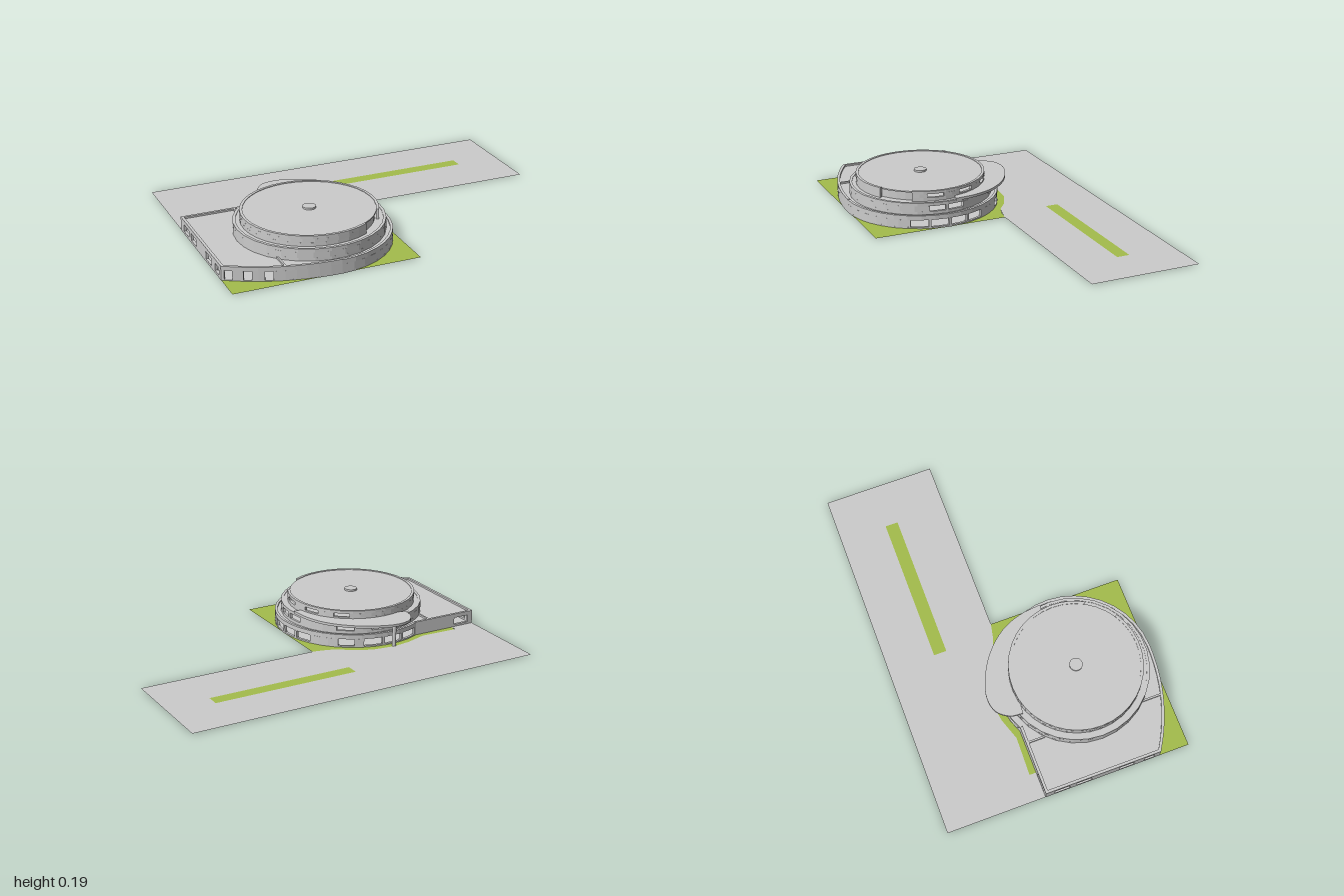
import * as THREE from 'three';

const CX = -0.43, CZ = 0.25, RAD = Math.PI / 180;
const grey = new THREE.MeshStandardMaterial({ color: 0xcccccc, flatShading: true });
const paving = new THREE.MeshStandardMaterial({ color: 0xcccccc, side: THREE.DoubleSide });
const grass = new THREE.MeshStandardMaterial({ color: 0xa4bd4c, side: THREE.DoubleSide });

// Plan paths return [x, z]; all run the same way round, with the inside on one hand
const circle = r => a => [CX + r * Math.cos(a * RAD), CZ + r * Math.sin(a * RAD)];
const line = (x0, z0, x1, z1) => u => [x0 + (x1 - x0) * u, z0 + (z1 - z0) * u];
const bowedFront = u => {
  const p = (1 - u) * (1 - u), q = 2 * u * (1 - u), r = u * u;
  return [-0.43 * p - 0.74 * q - r, 0.68 * p + 0.68 * q + 0.51 * r];
};

function sample(path, a, b, step) {
  const n = Math.max(1, Math.ceil((b - a) / step - 1e-6));
  return Array.from({ length: n + 1 }, (_, i) => path(a + (b - a) * i / n));
}

function planShape(points) {
  return new THREE.Shape(points.map(([x, z]) => new THREE.Vector2(x, -z)));
}

export function createModel() {
  const model = new THREE.Group();

  function add(parent, name, geometry, material = grey) {
    const mesh = new THREE.Mesh(geometry, material);
    mesh.name = name;
    parent.add(mesh);
    return mesh;
  }

  // Horizontal slab from a plan outline
  function slab(name, points, y0, y1) {
    const g = new THREE.ExtrudeGeometry(planShape(points), { depth: y1 - y0, bevelEnabled: false });
    add(model, name, g.rotateX(-Math.PI / 2).translate(0, y0, 0));
  }

  // Flat ground sheet with optional cut-out
  function sheet(name, points, y, material, hole) {
    const shape = planShape(points);
    if (hole) shape.holes.push(planShape(hole));
    add(model, name, new THREE.ShapeGeometry(shape).rotateX(-Math.PI / 2).translate(0, y, 0), material);
  }

  // Thin strip of wall following a path
  function strip(parent, name, path, a, b, step, y0, y1, t) {
    const outer = sample(path, a, b, step);
    const inner = outer.map(([x, z], i) => {
      const p = outer[Math.max(0, i - 1)], q = outer[Math.min(outer.length - 1, i + 1)];
      const dx = q[0] - p[0], dz = q[1] - p[1], l = Math.hypot(dx, dz);
      return [x - dz / l * t, z + dx / l * t];
    });
    const g = new THREE.ExtrudeGeometry(planShape([...outer, ...inner.reverse()]), { depth: y1 - y0, bevelEnabled: false });
    add(parent, name, g.rotateX(-Math.PI / 2).translate(0, y0, 0));
  }

  // Wall with open windows: sill, lintel and the piers between openings
  function wall(name, path, a, b, step, y0, y1, windows = [], sill = y0, head = y1) {
    const group = new THREE.Group();
    group.name = name;
    model.add(group);
    const t = 0.015;
    if (!windows.length) return strip(group, 'plainWall', path, a, b, step, y0, y1, t);
    strip(group, 'sill', path, a, b, step, y0, sill, t);
    strip(group, 'lintel', path, a, b, step, head, y1, t);
    let from = a;
    for (const [w0, w1] of [...windows, [b, b]]) {
      if (w0 > from) strip(group, 'pier', path, from, w0, step, sill, head, t);
      from = w1;
    }
  }

  // Grounds
  const strip4 = [[-0.06, -0.42], [0.75, -0.42], [0.75, -0.35], [-0.06, -0.35]];
  const kerb = [[0, -0.07], [-0.07, -0.085], [-0.13, -0.105], [-0.2, -0.16], [-0.3, -0.205],
    [-0.43, -0.22], [-0.53, -0.205], [-0.65, -0.165], [-0.86, -0.172], [-0.86, -0.135], [-1, -0.135]];
  sheet('carPark', [[-1, -0.68], [1, -0.68], [1, -0.07], ...kerb], 0.003, paving, strip4);
  sheet('lawnStrip', strip4, 0.003, grass);
  sheet('lawn', [...kerb, [-1, 0.675], [0, 0.675]], 0.002, grass);

  // Ground floor: round hall joined to a straight-sided wing
  const footprint = [...sample(circle(0.43), -116.5, 90, 10), ...sample(bowedFront, 0.1, 1, 0.1), [-1, -0.135]];
  slab('groundFloor', footprint, 0, 0.005);
  slab('groundRoof', footprint, 0.06, 0.068);
  wall('hallWall', circle(0.43), -116.5, 90, 10, 0, 0.075,
    [[-114, -101], [-99, -85], [-83, -69], [-62, -50], [-28, -15.5], [-13.5, -1], [1, 14], [16, 29]], 0.01, 0.05);
  wall('bowedWall', bowedFront, 0, 1, 0.1, 0, 0.078, [[0.575, 0.645], [0.75, 0.82], [0.91, 0.975]], 0.006, 0.055);
  wall('wingSideWall', line(-1, 0.51, -1, -0.135), 0, 1, 1, 0, 0.078,
    [[0.05, 0.14], [0.23, 0.36], [0.6, 0.73], [0.79, 0.92]], 0.015, 0.055);
  wall('wingBackWall', line(-1, -0.135, -0.62, -0.135), 0, 1, 1, 0, 0.078, [[0.08, 0.32]], 0.015, 0.055);
  for (const [z0, z1] of [[-0.13, -0.03], [0.52, 0.63]]) {
    add(model, 'wingRoofKerb', new THREE.BoxGeometry(0.01, 0.016, z1 - z0).translate(-0.71, 0.07, (z0 + z1) / 2));
  }
  add(model, 'core', new THREE.CylinderGeometry(0.19, 0.19, 0.17, 30).translate(CX, 0.09, CZ));

  // Middle floor
  wall('middleWall', circle(0.395), -180, 180, 12, 0.068, 0.133,
    [[-112, -96], [-92, -76], [-62, -48], [-14, -1], [1.5, 14.5]], 0.085, 0.115);
  slab('middleRoof', sample(circle(0.385), 0, 348, 12), 0.122, 0.13);

  // Canopy over the rear entrance, on one column
  const edge = new THREE.CatmullRomCurve3([[-0.57, -0.1], [-0.56, -0.17], [-0.51, -0.232], [-0.43, -0.25],
    [-0.33, -0.225], [-0.2, -0.15], [-0.1, -0.04], [-0.05, 0.08], [-0.035, 0.2]]
    .map(([x, z]) => new THREE.Vector3(x, 0, z))).getPoints(32).map(p => [p.x, p.z]);
  slab('canopy', [...edge, ...sample(circle(0.34), -10, 110, 120).slice(0, 1),
    circle(0.34)(-35), circle(0.34)(-65), circle(0.34)(-95)], 0.128, 0.142);
  add(model, 'canopyColumn', new THREE.CylinderGeometry(0.011, 0.011, 0.128, 16).translate(-0.43, 0.064, -0.21));

  // Top floor with a recessed balcony
  wall('topWall', circle(0.358), 59, 389, 10, 0.13, 0.186,
    [[302, 316], [331, 345.5], [361, 375.5]], 0.15, 0.17);
  wall('balconyBackWall', circle(0.335), 27, 61, 10, 0.13, 0.183);
  slab('topRoof', sample(circle(0.345), 0, 350, 10), 0.176, 0.183);
  add(model, 'roofLight', new THREE.CylinderGeometry(0.035, 0.035, 0.012, 24).translate(CX, 0.187, CZ));

  return model;
}
